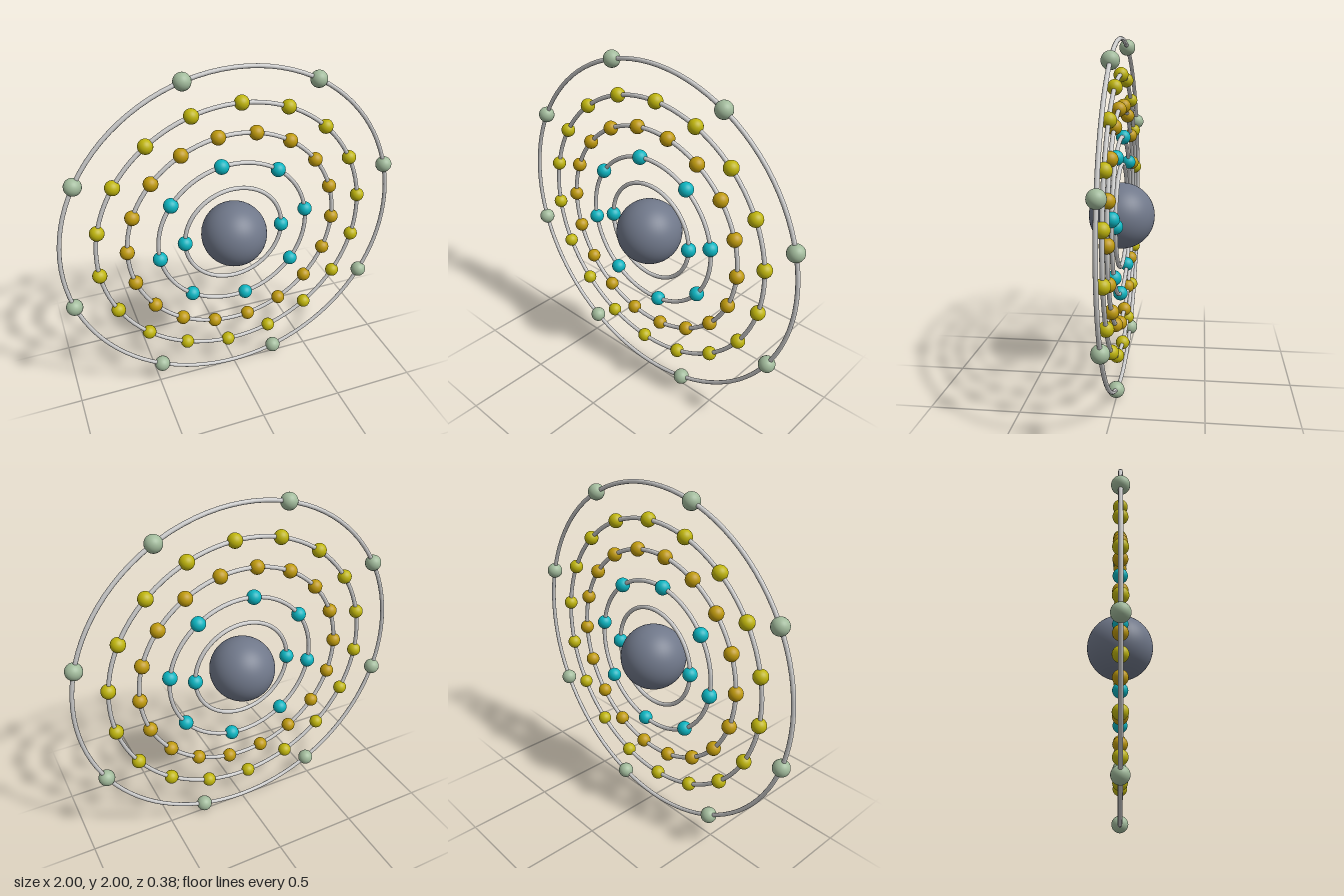
import * as THREE from 'three';

const material = (color) => new THREE.MeshStandardMaterial({ color });

// Orbits: radius, ball count, angle of the first ball (degrees), ball radius, ball colour
const ORBITS = [
  { radius: 0.295, count: 2, start: 0, ball: 0.042, color: 0x0bb4c0 },
  { radius: 0.45, count: 8, start: 9.2, ball: 0.042, color: 0x0bb4c0 },
  { radius: 0.626, count: 18, start: -1.8, ball: 0.041, color: 0xbf9a0c },
  { radius: 0.796, count: 18, start: 7, ball: 0.041, color: 0xbfb50c },
  { radius: 0.988, count: 8, start: 16, ball: 0.047, color: 0xa2bb9c },
];
const TUBE = 0.012;

// One ring in the upright plane with its evenly spaced balls
function createOrbit({ radius, count, start, ball, color }, index, ringMaterial) {
  const orbit = new THREE.Group();
  orbit.name = `orbit${index + 1}`;

  const ring = new THREE.Mesh(new THREE.TorusGeometry(radius, TUBE, 12, 96), ringMaterial);
  ring.name = 'orbitRing';
  orbit.add(ring);

  const geometry = new THREE.SphereGeometry(ball, 24, 16);
  const ballMaterial = material(color);
  for (let i = 0; i < count; i++) {
    const angle = THREE.MathUtils.degToRad(start + (360 * i) / count);
    const electron = new THREE.Mesh(geometry, ballMaterial);
    electron.name = 'electron';
    electron.position.set(radius * Math.cos(angle), radius * Math.sin(angle), 0);
    orbit.add(electron);
  }
  return orbit;
}

export function createModel() {
  const model = new THREE.Group();
  model.name = 'atom';

  // Central ball
  const nucleus = new THREE.Mesh(new THREE.SphereGeometry(0.19, 48, 32), material(0x70788a));
  nucleus.name = 'nucleus';
  model.add(nucleus);

  // Concentric orbits
  const ringMaterial = material(0xcccccc);
  ORBITS.forEach((orbit, i) => model.add(createOrbit(orbit, i, ringMaterial)));

  model.position.y = 1;
  return model;
}
